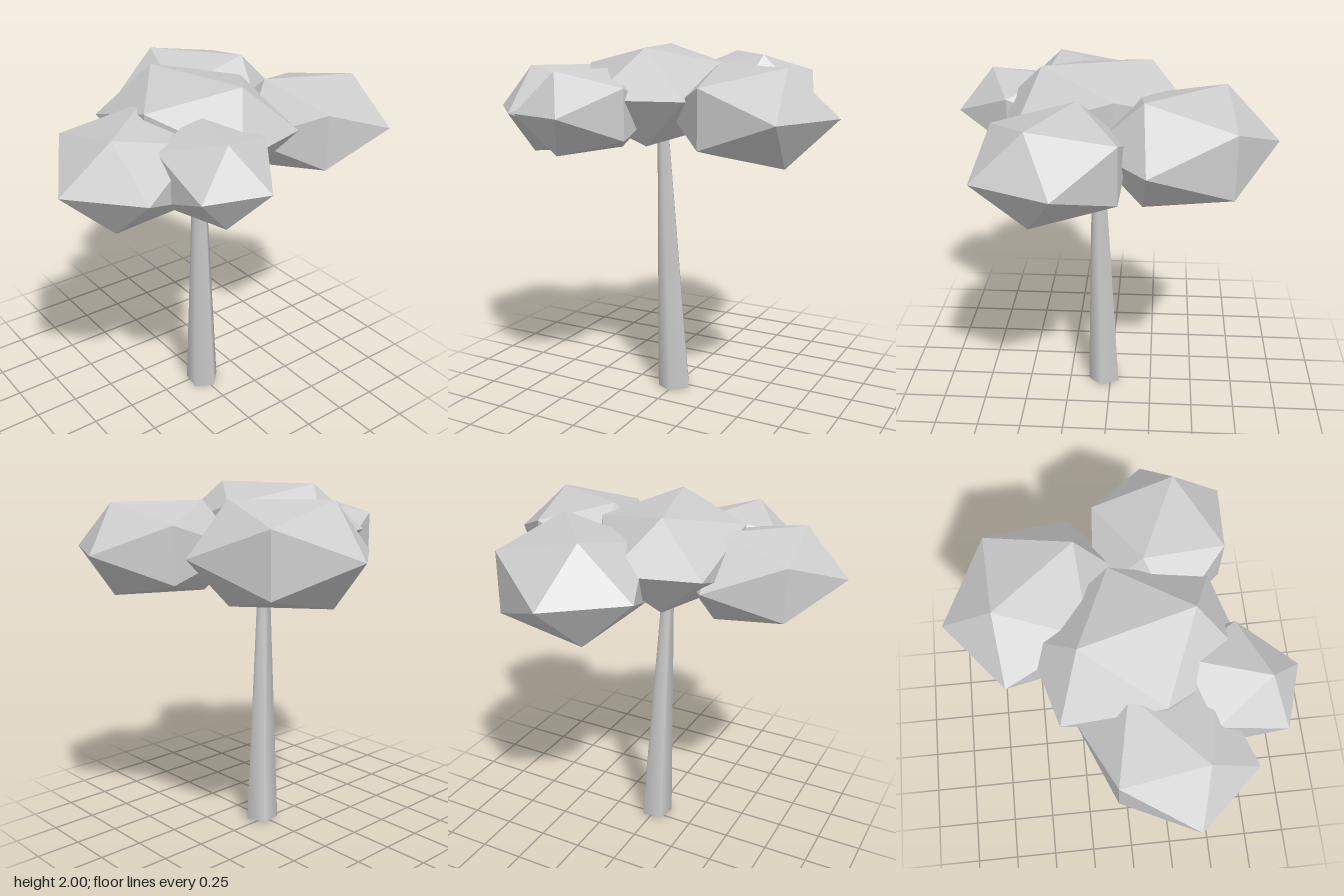
import * as THREE from 'three';

export function createModel() {
  const tree = new THREE.Group();
  tree.name = 'tree';

  const grey = new THREE.MeshStandardMaterial({ color: 0xcccccc });
  grey.name = 'light grey';
  const greyFaceted = grey.clone();
  greyFaceted.flatShading = true;
  greyFaceted.name = 'light grey faceted';

  // Leaning, tapered five-sided trunk, its top hidden in the crown
  const length = 1.6;
  const trunkGeometry = new THREE.CylinderGeometry(0.031, 0.099, length, 5, 1, false, Math.PI / 20);
  trunkGeometry.translate(0, length / 2, 0);
  const trunk = new THREE.Mesh(trunkGeometry, grey);
  trunk.name = 'trunk';
  trunk.position.set(0, 0.005, 0.036);
  const lean = new THREE.Vector3(-0.052, 1.49, 0.033).normalize();
  trunk.quaternion.setFromUnitVectors(new THREE.Vector3(0, 1, 0), lean);
  tree.add(trunk);

  // Crown of squashed icosahedra: name, centre, radii, turn about y
  const clumps = [
    ['centreFoliage', [-0.08, 1.745, 0.07], [0.573, 0.3, 0.46], -1.302],
    ['backFoliage', [0.26, 1.675, -0.4], [0.514, 0.323, 0.453], -0.891],
    ['leftFoliage', [0.546, 1.675, 0.247], [0.469, 0.288, 0.417], -0.422],
    ['rightFoliage', [-0.553, 1.65, 0.17], [0.48, 0.282, 0.41], 0.738],
    ['frontFoliage', [-0.277, 1.675, 0.484], [0.41, 0.253, 0.328], 1.276],
  ];
  const clumpGeometry = new THREE.IcosahedronGeometry(1, 0);
  for (const [name, centre, radii, turn] of clumps) {
    const clump = new THREE.Mesh(clumpGeometry, greyFaceted);
    clump.name = name;
    clump.position.set(...centre);
    clump.scale.set(...radii);
    clump.rotation.y = turn;
    tree.add(clump);
  }

  return tree;
}
